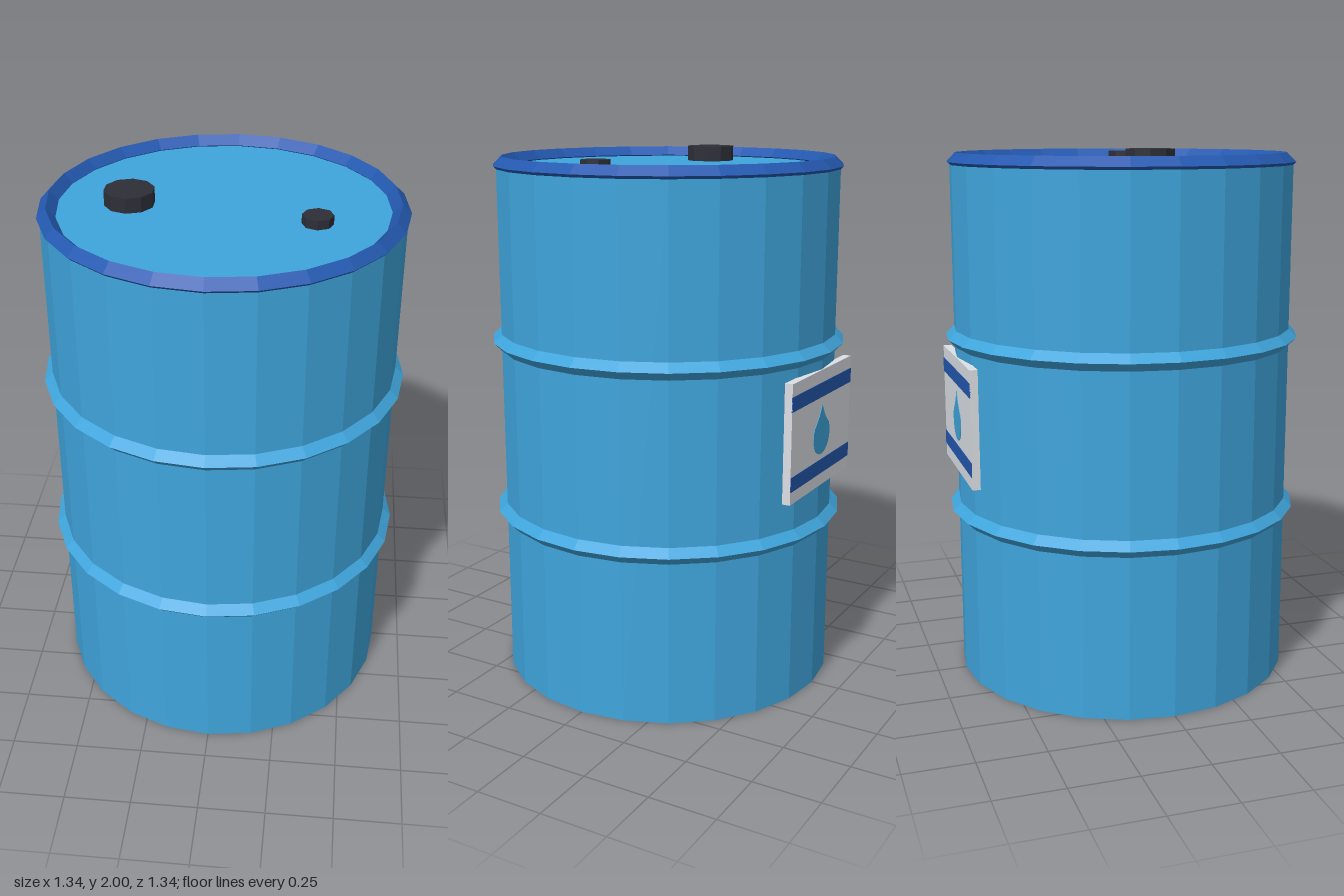
import * as THREE from 'three';

const paint = (name, color) => {
  const m = new THREE.MeshStandardMaterial({ color, flatShading: true });
  m.name = name;
  return m;
};

export function createModel() {
  const drum = new THREE.Group();
  drum.name = 'drum';
  const blue = paint('drum blue', 0x3fa5dc);
  const navy = paint('rim blue', 0x2459b0);
  const dark = paint('cap black', 0x2e2e38);
  const pale = paint('label white', 0xdcdfe4);
  const SIDES = 24, TOP = 1.945;

  const add = (parent, name, geometry, material, x = 0, y = 0, z = 0) => {
    const mesh = new THREE.Mesh(geometry, material);
    mesh.name = name;
    mesh.position.set(x, y, z);
    parent.add(mesh);
    return mesh;
  };

  // Ring with a diamond section, lying flat
  const ring = (name, radius, tube, y, material) =>
    add(drum, name, new THREE.TorusGeometry(radius, tube, 4, SIDES).rotateX(Math.PI / 2), material, 0, y);

  // Closed barrel, two rolling hoops and the top rim
  add(drum, 'body', new THREE.CylinderGeometry(0.64, 0.64, TOP, SIDES), blue, 0, TOP / 2);
  ring('lowerHoop', 0.64, 0.031, 0.645, blue);
  ring('upperHoop', 0.64, 0.031, 1.305, blue);
  ring('topRim', 0.617, 0.033, 1.949, navy);

  // Screw caps on the lid
  const cap = (name, radius, height, sides, x, z) =>
    add(drum, name, new THREE.CylinderGeometry(radius, radius, height, sides), dark, x, TOP + height / 2, z);
  cap('largeCap', 0.09, 2 - TOP, 10, -0.332, 0);
  cap('smallCap', 0.055, 0.033, 8, 0.33, 0.107);

  // Label on the back, built facing +z and then turned round
  const label = new THREE.Group();
  label.name = 'label';
  label.position.y = 1.02;
  label.rotation.y = Math.PI;
  drum.add(label);
  add(label, 'labelPlate', new THREE.BoxGeometry(0.53, 0.44, 0.03), pale, 0, 0, 0.63);
  for (const s of [-1, 1])
    add(label, s > 0 ? 'upperStripe' : 'lowerStripe',
      new THREE.BoxGeometry(0.53, 0.054, 0.004), navy, 0, s * 0.146, 0.645);

  // Water drop: round below, drawn to a point above
  const r = 0.073, drop = new THREE.Shape();
  drop.moveTo(0, 0.092);
  drop.quadraticCurveTo(-0.02, 0.045, -r * 0.88, r * 0.48 - 0.025);
  drop.absarc(0, -0.025, r, Math.PI * 0.84, Math.PI * 2.16, false);
  drop.quadraticCurveTo(0.02, 0.045, 0, 0.092);
  add(label, 'drop',
    new THREE.ExtrudeGeometry(drop, { depth: 0.004, bevelEnabled: false, curveSegments: 8 }), blue, 0, 0, 0.643);

  return drum;
}
